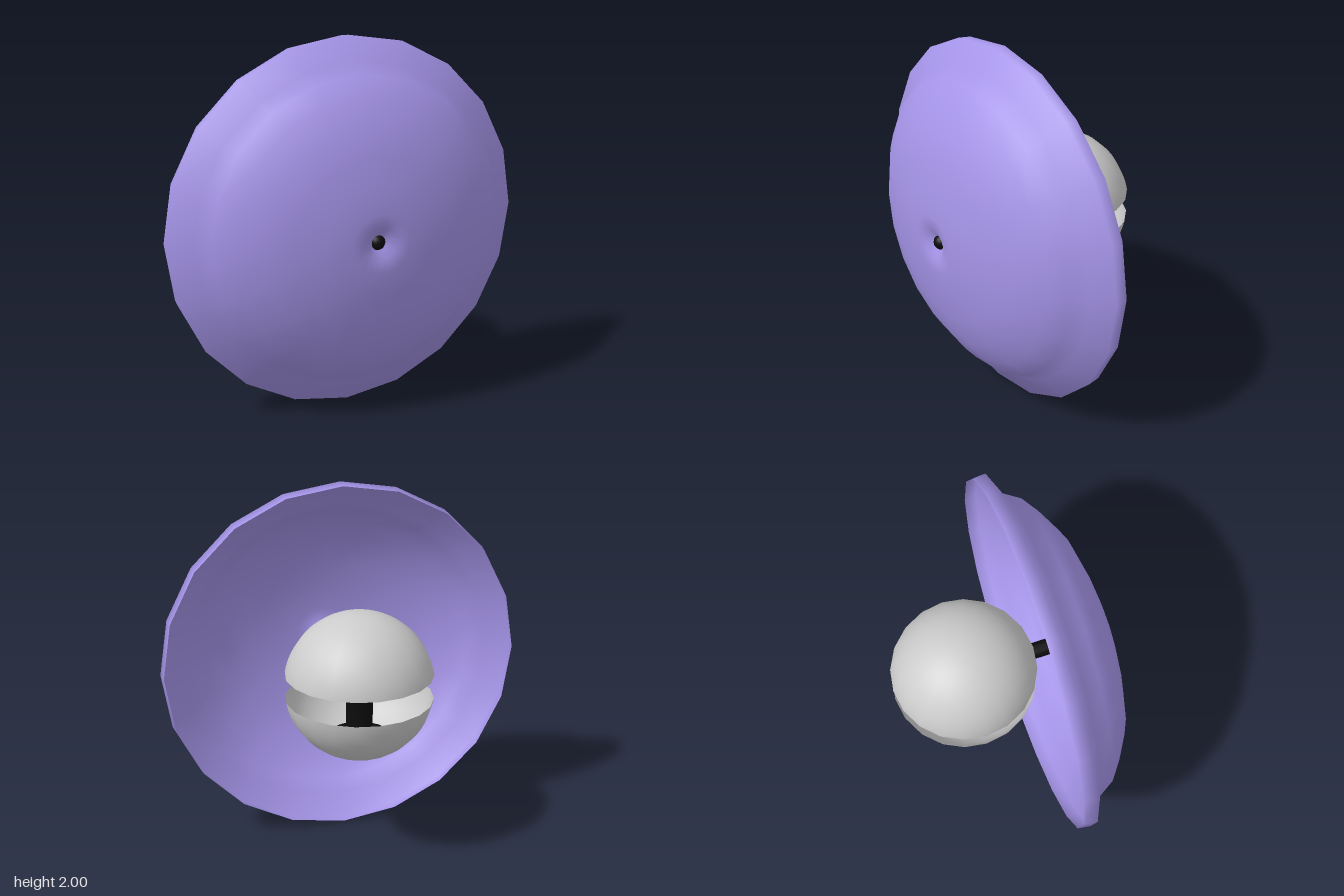
import * as THREE from 'three';

export function createModel() {
  const model = new THREE.Group();
  const purple = new THREE.MeshStandardMaterial({ color: 0xa594e8, side: THREE.DoubleSide });
  const grey = new THREE.MeshStandardMaterial({ color: 0xcccccc, side: THREE.DoubleSide });
  const black = new THREE.MeshStandardMaterial({ color: 0x0c0c0c });

  const add = (name, geometry, material, x, y, z, parent = model) => {
    const mesh = new THREE.Mesh(geometry, material);
    mesh.name = name;
    mesh.position.set(x, y, z);
    parent.add(mesh);
    return mesh;
  };

  // Thin 20-sided dish: rim lip, flared brim, dome and a small central dimple
  const profile = [
    [0.99, 0.13], [1, 0.2], [0.875, 0.26], [0.82, 0.35], [0.73, 0.42], [0.6, 0.5],
    [0.45, 0.545], [0.3, 0.578], [0.16, 0.597], [0.09, 0.592], [0.05, 0.565], [0, 0.55],
  ].map(([r, z]) => new THREE.Vector2(r, z));
  const dish = add('dish', new THREE.LatheGeometry(profile, 20), purple, 0, 1, 0);
  dish.rotation.x = Math.PI / 2;

  // Two hollow caps of one sphere, with the gap left between them
  const radius = 0.4, gap = 0.066;
  for (const s of [1, -1]) {
    const half = new THREE.Group();
    half.name = s > 0 ? 'upperHalf' : 'lowerHalf';
    half.position.set(0, 1, -0.2);
    if (s < 0) half.rotation.x = Math.PI;
    model.add(half);
    add('shell', new THREE.SphereGeometry(radius, 20, 16, 0, Math.PI * 2, 0, Math.acos(gap / radius)),
      grey, 0, 0, 0, half);
    // Post and its foot inside the shell
    add('post', new THREE.CylinderGeometry(0.072, 0.072, 0.3, 20), black, 0, 0.15, 0, half);
    add('foot', new THREE.CylinderGeometry(0.17, 0.17, 0.07, 20), black, 0, 0.325, 0, half);
  }

  // Pivot ball and the arm reaching to the dish
  add('pivotBall', new THREE.SphereGeometry(0.11, 20, 14), black, 0, 1, -0.2);
  const arm = add('arm', new THREE.CylinderGeometry(0.045, 0.045, 0.62, 12), black, 0, 1, 0.13);
  arm.rotation.x = Math.PI / 2;
  const neck = add('neck', new THREE.CylinderGeometry(0.018, 0.018, 0.1, 8), black, 0, 1, 0.48);
  neck.rotation.x = Math.PI / 2;
  add('tipBall', new THREE.SphereGeometry(0.042, 16, 12), black, 0, 1, 0.545);

  // Small prongs: one set at the arm end, one set around the tip ball
  for (const [name, z, r0, r1] of [['armProng', 0.44, 0.03, 0.065], ['tipProng', 0.52, 0.02, 0.075]]) {
    for (let i = 0; i < 4; i++) {
      const a = Math.PI / 4 + i * Math.PI / 2;
      const at = (r, zz) => new THREE.Vector3(r * Math.cos(a), r * Math.sin(a), zz);
      const path = new THREE.LineCurve3(at(r0, 0), at(r1, 0.025));
      add(name, new THREE.TubeGeometry(path, 1, 0.007, 6), black, 0, 1, z);
    }
  }
  return model;
}
